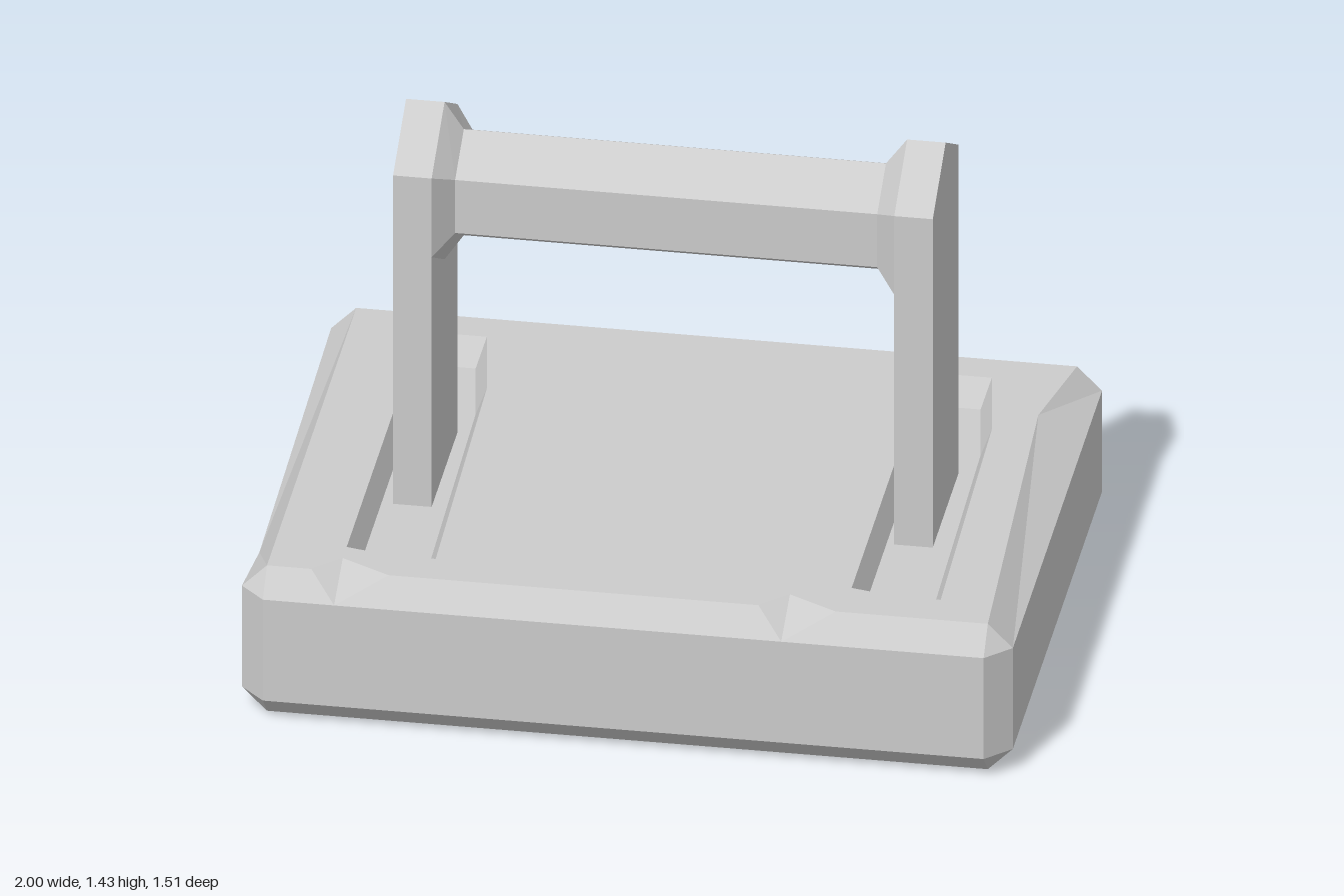
import * as THREE from 'three';

const material = new THREE.MeshStandardMaterial({ color: 0xcccccc, flatShading: true });
const TOP = 0.425, HI = 0.36, LO = 0.065, FLOOR = 0.36;

// Collects flat polygons; each is fanned from its first point and turned towards "out"
function faceBuilder() {
  const positions = [];
  const v = (p) => new THREE.Vector3(...p);
  return {
    add(out, ...pts) {
      const normal = new THREE.Vector3();
      pts.forEach((p, i) => normal.add(v(p).cross(v(pts[(i + 1) % pts.length]))));
      if (normal.dot(v(out)) < 0) pts = [pts[0], ...pts.slice(1).reverse()];
      for (let i = 1; i < pts.length - 1; i++) positions.push(...pts[0], ...pts[i], ...pts[i + 1]);
    },
    mesh(name) {
      const g = new THREE.BufferGeometry();
      g.setAttribute('position', new THREE.Float32BufferAttribute(positions, 3));
      g.computeVertexNormals();
      const m = new THREE.Mesh(g, material);
      m.name = name;
      return m;
    },
  };
}

// Chamfered stone slab with chipped edges and two sunken slots
function makeBase() {
  const f = faceBuilder();
  const T = (sx, sz) => [0.935 * sx, TOP, 0.69 * sz];
  const B = (sx, sz) => [0.935 * sx, 0, 0.69 * sz];
  const Z = (sx, y, sz) => [0.935 * sx, y, 0.755 * sz];
  const X = (sx, y, sz) => [sx, y, 0.69 * sz];
  const up = [0, 1, 0];

  // Front chips: left, back, right and lower points of each notch
  const chips = [-0.75, 0.41].map((x) => ({
    l: [x - 0.07, TOP, 0.69], b: [x, TOP, 0.62], r: [x + 0.13, TOP, 0.69], f: [x, HI, 0.755],
  }));
  const [c1, c2] = chips;
  const front = [0, 1, 1];
  f.add(front, Z(-1, HI, 1), c1.f, c1.l, T(-1, 1));
  f.add(front, c1.f, c2.f, c2.l, c1.r);
  f.add(front, c2.f, Z(1, HI, 1), T(1, 1), c2.r);
  for (const c of chips) {
    f.add(up, c.l, c.f, c.b);
    f.add(up, c.b, c.f, c.r);
  }
  f.add([0, 0, 1], Z(-1, LO, 1), Z(1, LO, 1), Z(1, HI, 1), Z(-1, HI, 1));

  // Back, with one deep chip
  const p = [0.66, HI, -0.755], q = [0.79, TOP, -0.69], r = [0.82, HI, -0.755], c = [0.73, 0.27, -0.755];
  const back = [0, 1, -1];
  f.add(back, q, T(-1, -1), Z(-1, HI, -1), p);
  f.add(back, q, r, Z(1, HI, -1), T(1, -1));
  f.add(back, p, c, q);
  f.add(back, q, c, r);
  f.add([0, 0, -1], c, p, Z(-1, HI, -1), Z(-1, LO, -1), Z(1, LO, -1), Z(1, HI, -1), r);

  // Worn upper edges on the +x and -x sides
  const worn = [0.88, TOP, -0.42], dip = [-1, 0.31, 0.42];
  f.add([1, 1, 0], worn, T(1, 1), X(1, HI, 1), X(1, HI, -1), T(1, -1));
  f.add([1, 0, 0], X(1, LO, 1), X(1, LO, -1), X(1, HI, -1), X(1, HI, 1));
  f.add([-1, 1, 0], dip, X(-1, HI, 1), T(-1, 1), T(-1, -1), X(-1, HI, -1));
  f.add([-1, 0, 0], dip, X(-1, HI, -1), X(-1, LO, -1), X(-1, LO, 1), X(-1, HI, 1));

  // Underside, lower chamfers and corners
  f.add([0, -1, 0], B(-1, -1), B(1, -1), B(1, 1), B(-1, 1));
  for (const s of [-1, 1]) {
    f.add([0, -1, s], Z(-1, LO, s), Z(1, LO, s), B(1, s), B(-1, s));
    f.add([s, -1, 0], X(s, LO, -1), X(s, LO, 1), B(s, 1), B(s, -1));
    for (const t of [-1, 1]) {
      f.add([s, 0, t], Z(s, LO, t), X(s, LO, t), X(s, HI, t), Z(s, HI, t));
      f.add([s, 1, t], Z(s, HI, t), X(s, HI, t), T(s, t));
      f.add([s, -1, t], Z(s, LO, t), X(s, LO, t), B(s, t));
    }
  }

  // Slots: rim outline and smaller floor outline, as [x, z]
  const rim = [[-0.75, -0.595], [-0.58, -0.595], [-0.535, -0.33], [-0.515, 0.585], [-0.64, 0.585], [-0.75, 0.56]];
  const floor = [[-0.72, -0.54], [-0.6, -0.54], [-0.56, -0.3], [-0.545, 0.53], [-0.64, 0.525], [-0.72, 0.5]];
  const holes = [0, 1.31].map((dx) => {
    const a = rim.map(([x, z]) => [x + dx, TOP, z]);
    const b = floor.map(([x, z]) => [x + dx, FLOOR, z]);
    f.add(up, ...b);
    a.forEach((pt, i) => {
      const j = (i + 1) % a.length;
      f.add(up, pt, a[j], b[j], b[i]);
    });
    return a;
  });

  // Top surface around the slots
  const outline = [T(-1, 1), c1.l, c1.b, c1.r, c2.l, c2.b, c2.r, T(1, 1), worn, T(1, -1), q, T(-1, -1)];
  const flat = (pts) => pts.map(([x, , z]) => new THREE.Vector2(x, z));
  const all = [outline, ...holes].flat();
  for (const tri of THREE.ShapeUtils.triangulateShape(flat(outline), holes.map(flat))) {
    f.add(up, ...tri.map((i) => all[i]));
  }
  return f.mesh('base');
}

// Upright post with a gabled top
function makePost(name, x) {
  const shape = new THREE.Shape([[-0.2, FLOOR], [0.2, FLOOR], [0.2, 1.32], [0, 1.435], [-0.2, 1.32]]
    .map(([z, y]) => new THREE.Vector2(z, y)));
  const g = new THREE.ExtrudeGeometry(shape, { depth: 0.1, bevelEnabled: false });
  g.translate(0, 0, -0.05).rotateY(Math.PI / 2);
  const post = new THREE.Mesh(g, material);
  post.position.x = x;
  post.name = name;
  return post;
}

// Six-sided crossbar that flares into a collar at each post
function makeCrossbar() {
  const f = faceBuilder();
  const thin = [[0, 1.36], [0.135, 1.285], [0.135, 1.13], [0, 1.05], [-0.135, 1.13], [-0.135, 1.285]];
  const wide = [[0, 1.435], [0.2, 1.32], [0.2, 1.09], [0, 0.975], [-0.2, 1.09], [-0.2, 1.32]];
  const rings = [[-0.59, wide], [-0.54, thin], [0.555, thin], [0.61, wide]]
    .map(([x, ring]) => ring.map(([z, y]) => [x, y, z]));
  for (let k = 0; k < 3; k++) {
    for (let i = 0; i < 6; i++) {
      const j = (i + 1) % 6, a = rings[k], b = rings[k + 1];
      const out = [0, (a[i][1] + a[j][1]) / 2 - 1.205, (a[i][2] + a[j][2]) / 2];
      f.add(out, a[i], a[j], b[j], b[i]);
    }
  }
  return f.mesh('crossbar');
}

export function createModel() {
  const model = new THREE.Group();
  model.name = 'postStand';
  model.add(makeBase(), makePost('rightPost', -0.64), makePost('leftPost', 0.66), makeCrossbar());
  return model;
}
